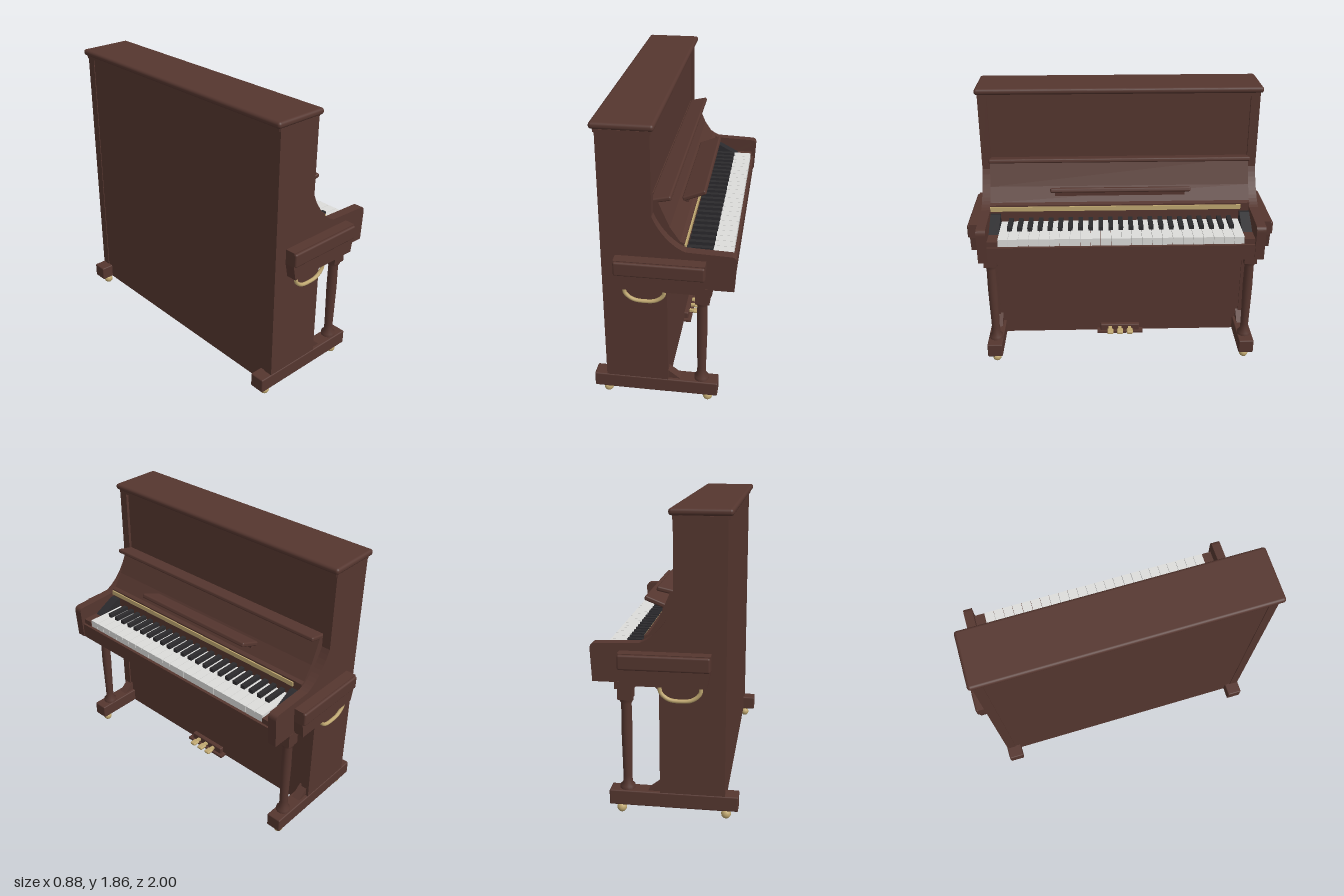
import * as THREE from 'three';
import { RoundedBoxGeometry } from 'three/addons/geometries/RoundedBoxGeometry.js';

export function createModel() {
  const model = new THREE.Group();
  model.name = 'uprightPiano';
  const mat = (name, color) => {
    const m = new THREE.MeshStandardMaterial({ color });
    m.name = name;
    return m;
  };
  const wood = mat('darkWood', 0x55362f);
  const brass = mat('brass', 0xbfa770);
  const ivory = mat('ivory', 0xdcdcda);
  const ebony = mat('ebony', 0x2b2a2d);

  const add = (name, geo, material, parent = model) => {
    const mesh = new THREE.Mesh(geo, material);
    mesh.name = name;
    parent.add(mesh);
    return mesh;
  };
  // box from its limits on each axis, with optional rounded edges
  const box = (name, [x0, x1], [y0, y1], [z0, z1], material = wood, r = 0, parent = model) => {
    const size = [x1 - x0, y1 - y0, z1 - z0];
    const geo = r ? new RoundedBoxGeometry(...size, 3, r) : new THREE.BoxGeometry(...size);
    const mesh = add(name, geo, material, parent);
    mesh.position.set((x0 + x1) / 2, (y0 + y1) / 2, (z0 + z1) / 2);
    return mesh;
  };
  // side profile in x and y, extruded between two z limits
  const slab = (name, shape, z0, z1, material = wood) => {
    const s = Array.isArray(shape) ? new THREE.Shape(shape.map(p => new THREE.Vector2(...p))) : shape;
    const geo = new THREE.ExtrudeGeometry(s, { depth: z1 - z0, bevelEnabled: false, curveSegments: 10 });
    return add(name, geo.translate(0, 0, z0), material);
  };
  // z limits mirrored to side s
  const side = (s, a, b) => (s > 0 ? [a, b] : [-b, -a]);

  // case
  box('upperCase', [-0.355, -0.075], [0.85, 1.82], [-0.87, 0.87]);
  box('lowerCase', [-0.355, 0.02], [0.07, 0.9], [-0.87, 0.87]);
  box('lid', [-0.39, -0.03], [1.822, 1.862], [-0.935, 0.935], wood, 0.018);
  box('lidMoulding', [-0.37, -0.05], [1.8, 1.825], [-0.915, 0.915]);

  // side panel with cheek and arm
  const cheek = new THREE.Shape();
  cheek.moveTo(-0.36, 0.07);
  cheek.lineTo(0.03, 0.07);
  cheek.lineTo(0.03, 0.852);
  cheek.lineTo(0.425, 0.852);
  cheek.lineTo(0.435, 1.05);
  cheek.quadraticCurveTo(0.435, 1.085, 0.4, 1.085);
  cheek.lineTo(0.14, 1.095);
  cheek.bezierCurveTo(0.07, 1.12, -0.01, 1.2, -0.055, 1.31);
  cheek.lineTo(-0.055, 1.82);
  cheek.lineTo(-0.36, 1.82);

  // keyboard bed, fallboard and shelves
  box('keyBed', [-0.05, 0.42], [0.852, 0.955], [-0.87, 0.87]);
  slab('fallboard', [[-0.1, 0.95], [0.125, 0.95], [0.125, 1.12], [0.1, 1.13],
    [0.04, 1.22], [-0.03, 1.385], [-0.1, 1.385]], -0.86, 0.86);
  box('fallboardTrim', [0.122, 0.134], [1.08, 1.11], [-0.8, 0.86], brass);
  const shelf = box('upperShelf', [-0.07, 0.05], [1.375, 1.403], [-0.86, 0.86], wood, 0.01);
  shelf.rotation.z = 0.22;
  const desk = box('musicDesk', [0.05, 0.205], [1.212, 1.242], [-0.455, 0.455], wood, 0.01);
  desk.rotation.z = 0.38;
  box('deskSupport', [0.03, 0.09], [1.17, 1.205], [-0.43, 0.43]);

  // keys
  const keys = new THREE.Group();
  keys.name = 'keys';
  model.add(keys);
  const count = 24, pitch = 1.58 / count;
  for (let i = 0; i < count; i++) {
    const z = -0.79 + i * pitch;
    box('whiteKey', [0.12, 0.4], [0.95, 1.005], [z + 0.0012, z + pitch - 0.0012], ivory, 0, keys);
    if (i > 0) box('blackKey', [0.12, 0.28], [1, 1.03], [z - 0.015, z + 0.015], ebony, 0, keys);
  }

  const caster = new THREE.SphereGeometry(0.03, 16, 12);
  const leg = new THREE.LatheGeometry([
    [0.046, 0.16], [0.046, 0.185], [0.03, 0.2], [0.027, 0.25], [0.033, 0.55],
    [0.031, 0.71], [0.042, 0.73], [0.042, 0.75],
  ].map(p => new THREE.Vector2(...p)), 20);
  const handleCurve = new THREE.CatmullRomCurve3([
    [-0.22, 0.86], [-0.215, 0.815], [-0.17, 0.775], [-0.1, 0.765], [-0.03, 0.775], [0.015, 0.815], [0.02, 0.86],
  ].map(([x, y]) => new THREE.Vector3(x, y, 0)));
  const handle = new THREE.TubeGeometry(handleCurve, 32, 0.012, 10);

  for (const s of [1, -1]) {
    slab('sidePanel', cheek, ...side(s, 0.858, 0.918));

    // blocks at the ends of the keys
    slab('keyEndFelt', [[0.12, 0.95], [0.3, 0.95], [0.3, 0.985], [0.15, 1.065], [0.12, 1.065]],
      ...side(s, 0.792, 0.86), ebony);
    box('keyEndBlock', [0.3, 0.405], [0.95, 0.99], side(s, 0.792, 0.86));

    // carrying block and handle
    slab('carryBlock', [[-0.255, 0.855], [0.245, 0.855], [0.26, 0.95], [0.26, 1.045],
      [-0.275, 1.045], [-0.275, 0.95]], ...side(s, 0.91, 0.985));
    box('carryBlockCap', [-0.275, 0.26], [0.95, 1.04], side(s, 0.93, 1), wood, 0.012);
    add('handle', handle, brass).position.z = s * 0.955;

    // foot, leg and brackets
    box('foot', [-0.44, 0.34], [0.07, 0.165], side(s, 0.82, 0.922), wood, 0.008);
    add('legColumn', leg, wood).position.set(0.235, 0, s * 0.868);
    box('legCapital', [0.195, 0.28], [0.74, 0.815], side(s, 0.827, 0.91));
    box('legCapitalTop', [0.18, 0.295], [0.81, 0.855], side(s, 0.815, 0.92));
    slab('lowerBracket', [[0.02, 0.16], [0.11, 0.16], [0.02, 0.23]], ...side(s, 0.84, 0.9));
    slab('upperBracket', [[0.02, 0.79], [0.09, 0.855], [0.02, 0.855]], ...side(s, 0.84, 0.9));

    // casters
    for (const x of [-0.365, 0.275]) {
      add('caster', caster, brass).position.set(x, 0.03, s * 0.868);
      const stem = add('casterStem', new THREE.CylinderGeometry(0.018, 0.018, 0.03, 12), brass);
      stem.position.set(x, 0.06, s * 0.868);
    }
  }

  // pedals
  box('pedalPlate', [0.015, 0.05], [0.075, 0.13], [-0.14, 0.14], wood, 0.008);
  box('pedalBase', [0.015, 0.07], [0.07, 0.085], [-0.165, 0.165]);
  for (const z of [-0.07, 0, 0.07]) {
    box('pedalArm', [0.03, 0.1], [0.1, 0.116], [z - 0.012, z + 0.012], brass);
    box('pedalTip', [0.075, 0.13], [0.096, 0.118], [z - 0.022, z + 0.022], brass, 0.009);
  }
  return model;
}
